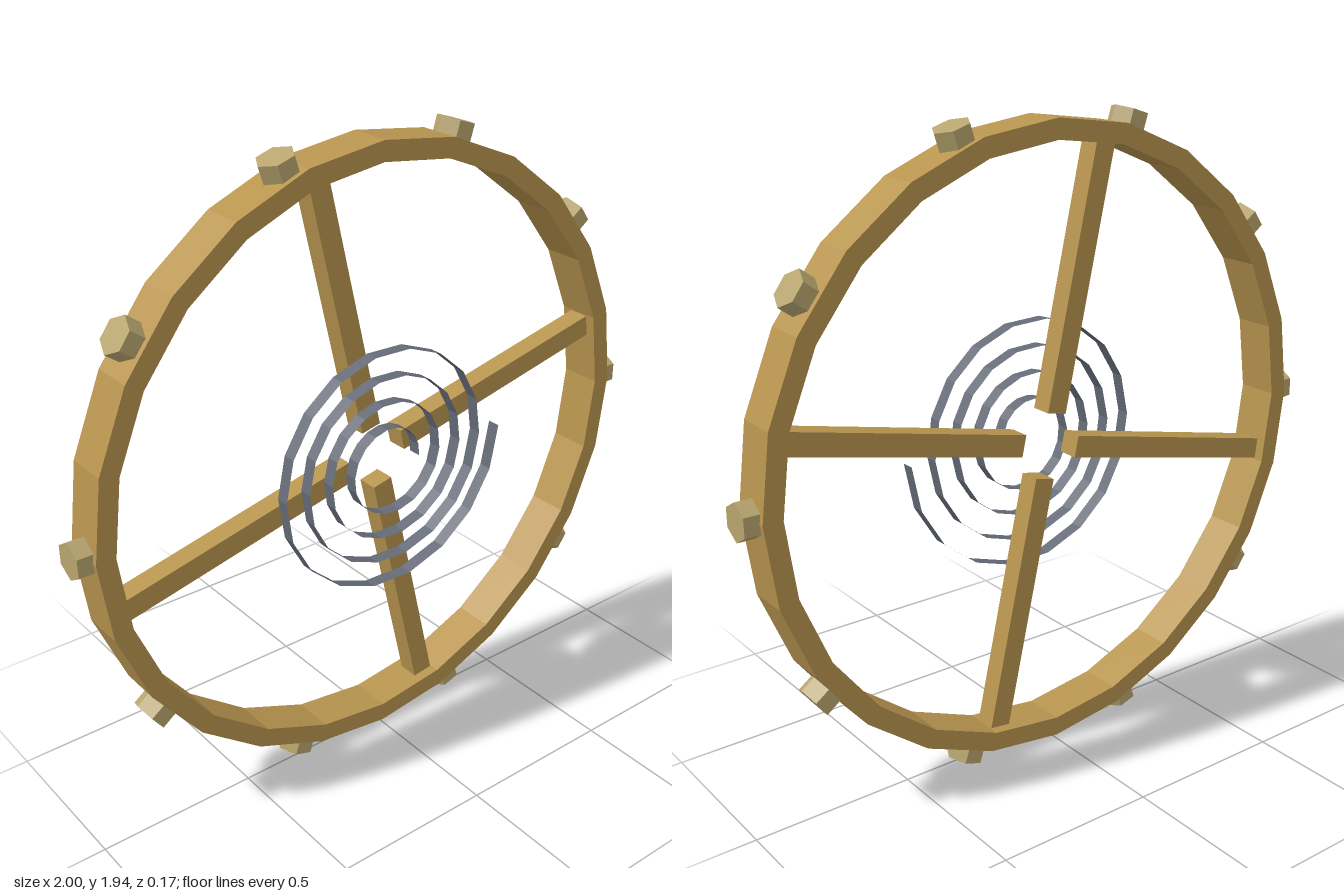
import * as THREE from 'three';

const CENTER_Y = 0.97;   // wheel axis height
const MID_Z = -0.021;    // middle plane of the rim
const RIM_DEPTH = 0.132;

function mat(name, color, extra = {}) {
  const m = new THREE.MeshStandardMaterial({ color, ...extra });
  m.name = name;
  return m;
}

function circlePoints(radius, sides) {
  return Array.from({ length: sides }, (_, i) => {
    const a = (i / sides) * Math.PI * 2;
    return new THREE.Vector2(Math.cos(a) * radius, Math.sin(a) * radius);
  });
}

// Flat ribbon wound outwards, standing on edge along z
function spiralRibbon(r0, r1, turns, sides, z0, z1) {
  const pos = [], index = [], n = turns * sides;
  for (let i = 0; i <= n; i++) {
    const a = (i / sides) * Math.PI * 2;
    const r = r0 + (r1 - r0) * (i / n);
    const x = Math.cos(a) * r, y = Math.sin(a) * r;
    pos.push(x, y, z0, x, y, z1);
    if (i < n) {
      const k = i * 2;
      index.push(k, k + 2, k + 1, k + 1, k + 2, k + 3);
    }
  }
  const g = new THREE.BufferGeometry();
  g.setAttribute('position', new THREE.Float32BufferAttribute(pos, 3));
  g.setIndex(index);
  const flat = g.toNonIndexed();
  flat.computeVertexNormals();
  return flat;
}

export function createModel() {
  const brass = mat('brass', 0xb8954f, { flatShading: true });
  const paleBrass = mat('pale brass', 0xb8a56e, { flatShading: true });
  const steel = mat('blued steel', 0x666c78, { flatShading: true, side: THREE.DoubleSide });

  const model = new THREE.Group();
  model.name = 'balanceWheel';
  const wheel = new THREE.Group();
  wheel.name = 'wheel';
  wheel.position.y = CENTER_Y;
  model.add(wheel);

  const add = (name, geometry, material, parent = wheel) => {
    const mesh = new THREE.Mesh(geometry, material);
    mesh.name = name;
    parent.add(mesh);
    return mesh;
  };

  // Rim: 24-sided ring
  const ring = new THREE.Shape(circlePoints(0.956, 24));
  ring.holes.push(new THREE.Path(circlePoints(0.896, 24).reverse()));
  const rimGeo = new THREE.ExtrudeGeometry(ring, { depth: RIM_DEPTH, bevelEnabled: false });
  add('rim', rimGeo, brass).position.z = MID_Z - RIM_DEPTH / 2;

  // Four spokes that stop short of the axis
  const spokeGeo = new THREE.BoxGeometry(0.8, 0.067, 0.067);
  spokeGeo.translate(0.5, 0, 0);
  for (let i = 0; i < 4; i++) {
    const spoke = add('spoke', spokeGeo, brass);
    spoke.position.z = MID_Z;
    spoke.rotation.z = 0.22 + i * Math.PI / 2;
  }

  // Ten hexagonal timing screws around the rim
  const screwGeo = new THREE.CylinderGeometry(0.057, 0.057, 0.08, 6, 1, false, Math.PI / 2);
  screwGeo.translate(0, 0.96, 0);
  for (let i = 0; i < 10; i++) {
    const screw = add('timingScrew', screwGeo, paleBrass);
    screw.position.z = MID_Z;
    screw.rotation.z = i * Math.PI / 5 - Math.PI / 2;
  }

  // Hairspring in front of the spokes
  add('hairspring', spiralRibbon(0.1, 0.422, 4, 18, 0.045, 0.087), steel);

  return model;
}
